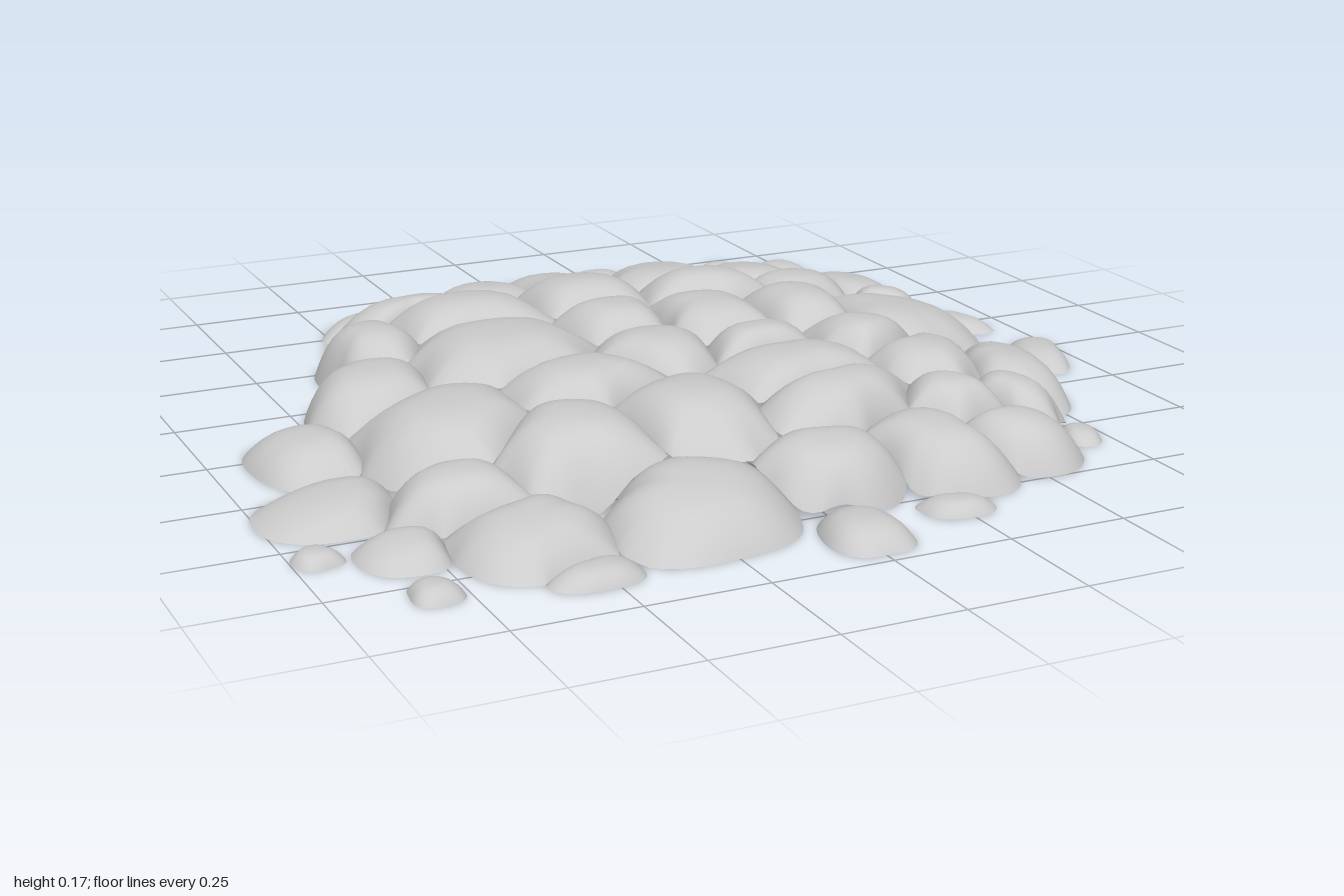
import * as THREE from 'three';

// Each stone: centre x, centre z, half width, half depth, turn in plan
const backStones = [
  [-0.35, -0.62, 0.21, 0.10, 0], [-0.12, -0.745, 0.12, 0.145, -0.25], [0.09, -0.80, 0.11, 0.185, -0.12],
  [0.31, -0.66, 0.175, 0.19, 0], [0.58, -0.71, 0.135, 0.165, -0.1], [0.78, -0.56, 0.10, 0.17, 0],
  [0.57, -0.43, 0.155, 0.115, 0], [0.31, -0.41, 0.16, 0.115, 0], [0.02, -0.48, 0.14, 0.15, 0],
  [-0.29, -0.46, 0.185, 0.16, 0], [-0.53, -0.38, 0.095, 0.165, 0], [0.75, -0.335, 0.10, 0.085, 0.3],
];
const middleStones = [
  [-0.31, -0.14, 0.2, 0.18, 0], [-0.63, -0.12, 0.13, 0.16, 0.3], [0, -0.22, 0.125, 0.12, 0],
  [0.2, -0.165, 0.125, 0.17, 0], [0.43, -0.16, 0.12, 0.15, 0.2], [0.67, -0.12, 0.175, 0.205, 0],
  [-0.015, 0.03, 0.14, 0.14, 0], [-0.57, 0.2, 0.17, 0.2, 0], [-0.82, 0.07, 0.10, 0.155, -0.15],
  [-0.865, 0.355, 0.135, 0.13, 0], [-0.23, 0.15, 0.175, 0.13, -0.1], [0.2, 0.07, 0.14, 0.10, 0],
  [0.45, 0.11, 0.13, 0.12, 0.3], [0.2, 0.25, 0.18, 0.16, 0], [0.51, 0.27, 0.13, 0.19, 0.25],
  [0.72, 0.26, 0.105, 0.195, 0.2],
];
const frontStones = [
  [-0.39, 0.41, 0.165, 0.165, 0], [-0.11, 0.39, 0.13, 0.2, 0], [-0.65, 0.47, 0.14, 0.11, 0.2],
  [0.21, 0.43, 0.2, 0.10, -0.35], [0.45, 0.48, 0.10, 0.13, -0.4], [0.6, 0.46, 0.085, 0.14, -0.4],
  [0.06, 0.66, 0.14, 0.115, 0.1], [0.31, 0.66, 0.12, 0.14, -0.1], [0.5, 0.63, 0.13, 0.11, 0.6],
  [-0.58, 0.69, 0.155, 0.14, 0], [-0.255, 0.72, 0.185, 0.155, 0], [-0.8, 0.61, 0.085, 0.095, 0],
];
const loosePebbles = [
  [-0.39, -0.755, 0.125, 0.085, 0.1], [0.26, -0.93, 0.085, 0.06, 0], [0.61, -0.935, 0.048, 0.028, 0.5],
  [0.735, -0.82, 0.052, 0.09, -0.15], [0.89, -0.235, 0.048, 0.10, -0.35], [0.92, 0.07, 0.065, 0.12, 0.4],
  [-0.95, 0.56, 0.045, 0.05, -0.4], [-0.81, 0.8, 0.05, 0.055, 0], [-0.52, 0.85, 0.095, 0.058, -0.1],
  [0.01, 0.87, 0.082, 0.11, 0], [0.24, 0.825, 0.075, 0.05, 0.2], [0.69, 0.57, 0.045, 0.06, 0.2],
];

const SECTORS = 48, RINGS = 9, SEAM = 0.065, CROWN = 0.172;

// Squarish distance from the middle, and the crown height of the whole mound there
const spread = (x, z) => Math.cbrt(Math.abs(x) ** 3 + Math.abs(z) ** 3);
const mound = (x, z) => CROWN * Math.max(0, 1 - (Math.max(0, spread(x, z) - 0.42) / 0.6) ** 1.3);

// Distance from a stone's centre, 1 on its rounded-box outline
function reach(s, x, z) {
  const dx = x - s.x, dz = z - s.z, c = Math.cos(s.turn), n = Math.sin(s.turn);
  const u = (dx * c + dz * n) / s.rx, v = (dz * c - dx * n) / s.rz;
  const a = Math.atan2(v, u), rough = s.pebble ? 0.06 : 0.035;
  const wobble = 1 + 0.035 * Math.sin(2 * a + s.seed) + rough * Math.sin(3 * a + s.seed * 2.3);
  return Math.pow(Math.abs(u) ** 2.6 + Math.abs(v) ** 2.6, 1 / 2.6) / wobble;
}

// Furthest point along a ray before the outline ends or a neighbour begins
function rimAt(s, angle, stones) {
  const dx = Math.cos(angle), dz = Math.sin(angle);
  let lo = 0, hi = 0.4, open = true;
  for (let i = 0; i < 16; i++) {
    const t = (lo + hi) / 2, x = s.x + dx * t, z = s.z + dz * t;
    const own = reach(s, x, z);
    const taken = stones.some((o) => o !== s && reach(o, x, z) < own);
    const limit = s.pebble ? 1 : Math.hypot(x, z) < 0.66 ? 1.3 : 1.03;
    if (own > limit || taken) {
      hi = t;
      open = !taken;
    } else lo = t;
  }
  const seam = Math.max(0, mound(s.x + dx * lo, s.z + dz * lo) - SEAM);
  return { dx, dz, r: lo, y: open || s.pebble ? 0 : seam };
}

// Running average round a closed loop of numbers
function smoothLoop(values, passes) {
  let v = values;
  for (let i = 0; i < passes; i++) {
    v = v.map((m, j) => (v.at(j - 1) + 2 * m + v[(j + 1) % v.length]) / 4);
  }
  return v;
}

// Domed shell from its seam up to a softly flattened crown
function stoneGeometry(s, stones) {
  const crown = s.pebble ? Math.min(s.rx, s.rz) * 0.55 : mound(s.x, s.z);
  const positions = [s.x, crown, s.z], index = [];
  const rim = Array.from({ length: SECTORS }, (_, j) => rimAt(s, (j / SECTORS) * Math.PI * 2, stones));
  const softR = smoothLoop(rim.map((p) => p.r), 12);
  const softY = smoothLoop(rim.map((p) => p.y), 4);
  for (let i = 1; i <= RINGS; i++) {
    const f = Math.sin((i / RINGS) * Math.PI / 2);
    rim.forEach((p, j) => {
      // Inner rings are rounder than the rim, so corners leave no creases
      const r = f * (softR[j] + (p.r - softR[j]) * f ** 4);
      const x = s.x + p.dx * r, z = s.z + p.dz * r;
      const top = s.pebble ? crown : (crown + mound(x, z)) / 2;
      positions.push(x, softY[j] + (top - softY[j]) * (1 - f ** 3.2), z);
      const k = (j + 1) % SECTORS, a = 1 + (i - 1) * SECTORS;
      if (i === 1) index.push(0, a + k, a + j);
      else index.push(a - SECTORS + j, a - SECTORS + k, a + j, a - SECTORS + k, a + k, a + j);
    });
  }
  const geometry = new THREE.BufferGeometry();
  geometry.setAttribute('position', new THREE.Float32BufferAttribute(positions, 3));
  geometry.setIndex(index);
  geometry.computeVertexNormals();
  return geometry;
}

export function createModel() {
  const model = new THREE.Group();
  model.name = 'stoneMound';
  const material = new THREE.MeshStandardMaterial({ color: 0xcccccc, side: THREE.DoubleSide });
  const sets = { backStones, middleStones, frontStones, loosePebbles };

  const stones = Object.entries(sets).flatMap(([set, rows]) => rows.map(([x, z, rx, rz, turn], i) => (
    { set, x, z, rx, rz, turn, seed: i * 2.4 + x * 7, pebble: set === 'loosePebbles' })));

  for (const set of Object.keys(sets)) {
    const group = new THREE.Group();
    group.name = set;
    stones.filter((s) => s.set === set).forEach((s) => {
      const mesh = new THREE.Mesh(stoneGeometry(s, stones), material);
      mesh.name = s.pebble ? 'pebble' : 'stone';
      group.add(mesh);
    });
    model.add(group);
  }
  return model;
}
